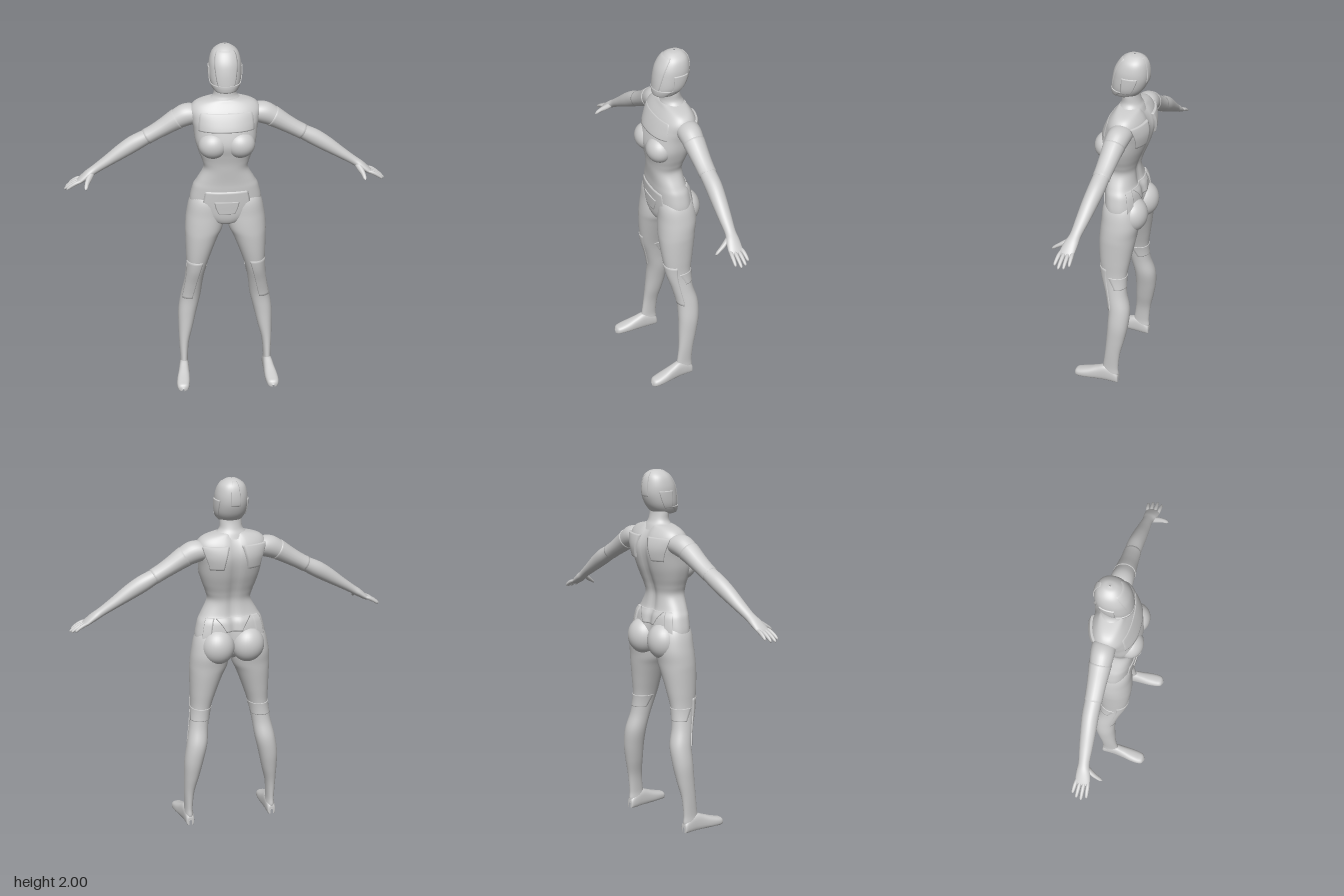
import * as THREE from 'three';

const DEG = Math.PI / 180;
const V = (x, y, z) => new THREE.Vector3(x, y, z);
const grey = new THREE.MeshStandardMaterial({ color: 0xcccccc });

// Smooth surface through rings { c: centre, u, v: half axes }; s is a fractional ring index.
function surface(rings, power = 1, rule = null) {
  const curve = k => new THREE.CatmullRomCurve3(rings.map(r => r[k]), false, 'catmullrom', 0.5);
  const [C, U, W] = [curve('c'), curve('u'), curve('v')];
  const last = rings.length - 1;
  const bend = n => Math.sign(n) * Math.pow(Math.abs(n), power);
  const at = (s, a, offset = 0) => {
    const t = s / last;
    const d = U.getPoint(t).multiplyScalar(bend(Math.cos(a)))
      .addScaledVector(W.getPoint(t), bend(Math.sin(a)));
    d.setLength(d.length() + offset);
    const p = C.getPoint(t).add(d);
    if (rule) rule(p);
    return p;
  };
  const mid = rings[last >> 1];
  const along = rings[(last >> 1) + 1].c.clone().sub(mid.c);
  return { at, last, flip: mid.u.clone().cross(mid.v).dot(along) < 0 };
}

function gridGeometry(points, rows, cols, closed, flip) {
  const pos = points.flatMap(p => [p.x, p.y, p.z]);
  const index = [];
  for (let i = 0; i < rows - 1; i++) {
    for (let j = 0; j < (closed ? cols : cols - 1); j++) {
      const k = (j + 1) % cols;
      const [a, b, c, d] = [i * cols + j, i * cols + k, (i + 1) * cols + k, (i + 1) * cols + j];
      if (flip) index.push(a, d, b, b, d, c);
      else index.push(a, b, d, b, c, d);
    }
  }
  const g = new THREE.BufferGeometry();
  g.setAttribute('position', new THREE.Float32BufferAttribute(pos, 3));
  g.setIndex(index);
  g.computeVertexNormals();
  return g;
}

// Closed body skin over the whole surface
function skin(S, cols = 40, steps = 6) {
  const pts = [], rows = S.last * steps + 1;
  for (let i = 0; i < rows; i++)
    for (let j = 0; j < cols; j++) pts.push(S.at(i / steps, j / cols * Math.PI * 2));
  return gridGeometry(pts, rows, cols, true, S.flip);
}

// Thin raised plate on a surface; its rim sinks below the skin. Half widths in degrees.
function plate(S, s0, s1, mid, w0, w1, lift = 0.004) {
  const n = 18, pts = [];
  const clamp = i => Math.min(Math.max(i - 1, 0), n) / n;
  for (let i = 0; i <= n + 2; i++) {
    for (let j = 0; j <= n + 2; j++) {
      const t = clamp(i), w = w0 + (w1 - w0) * t;
      const rim = i === 0 || j === 0 || i === n + 2 || j === n + 2;
      pts.push(S.at(s0 + (s1 - s0) * t, (mid + w * (2 * clamp(j) - 1)) * DEG, rim ? -0.004 : lift));
    }
  }
  return gridGeometry(pts, n + 3, n + 3, false, S.flip);
}

function mirrored(g) {
  const m = g.clone().scale(-1, 1, 1), id = m.index.array;
  for (let i = 0; i < id.length; i += 3) [id[i], id[i + 1]] = [id[i + 1], id[i]];
  m.computeVertexNormals();
  return m;
}

// Level ring from inner x, outer x, front z, back z
const level = ([y, x0, x1, zf, zb]) =>
  ({ c: V((x0 + x1) / 2, y, (zf + zb) / 2), u: V((x1 - x0) / 2, 0, 0), v: V(0, 0, (zf - zb) / 2) });
const centred = ([y, w, zf, zb]) => level([y, -w, w, zf, zb]);
// Ring across the arm direction
const armRing = ([x, y, z, r, rz]) => ({ c: V(x, y, z), u: V(0.5 * r, 0.86 * r, 0), v: V(0, 0, rz) });

export function createModel() {
  const model = new THREE.Group();
  const add = (name, g) => {
    const m = new THREE.Mesh(g, grey);
    m.name = name;
    model.add(m);
  };
  const pair = (name, g) => {
    add('left' + name, g);
    add('right' + name, mirrored(g));
  };
  const ball = (x, y, z, rx, ry, rz) =>
    new THREE.SphereGeometry(1, 32, 20).scale(rx, ry, rz).translate(x, y, z);

  // Torso, with a groove down the spine
  const torso = surface([
    [1.718, 0.01, -0.04, -0.07], [1.712, 0.07, -0.005, -0.115], [1.69, 0.155, 0.012, -0.135],
    [1.65, 0.19, 0.04, -0.158], [1.6, 0.185, 0.065, -0.172], [1.55, 0.174, 0.083, -0.17],
    [1.48, 0.165, 0.097, -0.152], [1.42, 0.148, 0.085, -0.13], [1.37, 0.13, 0.075, -0.112],
    [1.32, 0.121, 0.07, -0.102], [1.25, 0.158, 0.063, -0.11], [1.2, 0.183, 0.062, -0.13],
    [1.1, 0.195, 0.058, -0.14], [1.03, 0.125, 0.052, -0.125], [0.99, 0.055, 0.03, -0.08],
    [0.975, 0.006, -0.01, -0.03]].map(centred), 0.85,
  p => { if (p.z < -0.06) p.z += 0.014 * Math.exp(-((p.x / 0.025) ** 2)); });
  add('torso', skin(torso, 64));
  add('upperChestPlate', plate(torso, 3, 4.9, 90, 42, 55, 0.003));
  add('pelvisPlate', plate(torso, 11, 13.6, 90, 34, 40, 0.007));
  add('pelvisInset', plate(torso, 11.6, 12.4, 90, 15, 10, 0.012));
  add('lowerBackPlate', plate(torso, 10.2, 11.4, -90, 32, 10));
  pair('ShoulderBladePlate', plate(torso, 3, 5.4, -58, 25, 14, 0.012));
  pair('HipPouch', plate(torso, 10.2, 12.2, -45, 10, 9, 0.009));
  pair('Breast', ball(0.073, 1.475, 0.045, 0.08, 0.075, 0.071));
  pair('Buttock', ball(0.085, 1.075, -0.1, 0.092, 0.1, 0.085));

  // Neck
  add('neck', skin(surface([
    [1.82, 0.058, -0.005, -0.1], [1.77, 0.06, -0.01, -0.102], [1.73, 0.063, -0.008, -0.112],
    [1.705, 0.085, 0, -0.125], [1.68, 0.12, 0, -0.135]].map(centred))));

  // Helmeted head, face plate, crest, jaw guard and ear guards
  const head = surface([
    [2.0, 0.004, -0.07, -0.08], [1.992, 0.035, -0.035, -0.115], [1.965, 0.068, -0.003, -0.142],
    [1.92, 0.084, 0.024, -0.154], [1.87, 0.087, 0.037, -0.153], [1.82, 0.083, 0.043, -0.135],
    [1.785, 0.07, 0.044, -0.11], [1.762, 0.05, 0.036, -0.08], [1.755, 0.005, 0.005, -0.01],
  ].map(centred), 0.92);
  add('head', skin(head));
  add('facePlate', plate(head, 1.6, 6.6, 90, 50, 25, 0.003));
  add('crest', plate(head, 1.2, 4.2, -90, 14, 14));
  add('jawGuard', plate(head, 5.4, 6.8, 90, 85, 60, 0.005));
  pair('EarGuard', plate(head, 3.6, 5.6, -10, 24, 14, 0.005));

  // Arms with palms and raised sleeves
  const arm = surface([
    [0.13, 1.62, -0.07, 0.045, 0.045], [0.16, 1.62, -0.07, 0.06, 0.06], [0.21, 1.61, -0.068, 0.062, 0.062],
    [0.27, 1.582, -0.066, 0.053, 0.055], [0.34, 1.54, -0.065, 0.044, 0.048], [0.41, 1.5, -0.064, 0.04, 0.044],
    [0.49, 1.457, -0.063, 0.045, 0.044], [0.56, 1.415, -0.058, 0.041, 0.041], [0.64, 1.363, -0.052, 0.031, 0.035],
    [0.71, 1.318, -0.046, 0.024, 0.029], [0.75, 1.292, -0.04, 0.022, 0.036], [0.79, 1.264, -0.035, 0.016, 0.039],
    [0.81, 1.252, -0.035, 0.009, 0.034], [0.815, 1.25, -0.035, 0.001, 0.002]].map(armRing));
  pair('Arm', skin(arm, 32));
  pair('Sleeve', plate(arm, 2.8, 5.2, 0, 180, 180, 0.003));

  // Fingers and thumb
  const digit = (x0, y0, z0, x1, y1, z1, r) => skin(surface(
    [[0, 0.7], [0.35, 1], [0.7, 0.9], [0.93, 0.65], [1, 0.05]].map(([t, k]) => armRing([
      x0 + (x1 - x0) * t, y0 + (y1 - y0) * t + 0.006 * Math.sin(t * Math.PI), z0 + (z1 - z0) * t, r * k, r * k]))), 12, 3);
  [[0.858, -0.073], [0.876, -0.05], [0.882, -0.024], [0.868, 0.002]].forEach(([tip, z], i) =>
    pair('Finger' + (i + 1), digit(0.785, 1.266, -0.065 + i * 0.02, tip, 1.215 + (0.882 - tip) * 0.5, z, 0.0105)));
  const thumb = surface([[0.725, 1.305, -0.03, 0.014], [0.743, 1.282, 0, 0.016], [0.755, 1.265, 0.03, 0.012],
    [0.76, 1.25, 0.053, 0.009], [0.762, 1.244, 0.063, 0.001]].map(([x, y, z, r]) =>
    ({ c: V(x, y, z), u: V(r, 0, 0), v: V(0, r, 0) })));
  pair('Thumb', skin(thumb, 14, 3));

  // Legs with thigh cuffs and knee plates
  const leg = surface([
    [1.22, 0.06, 0.13, -0.01, -0.07], [1.14, 0.015, 0.193, 0.05, -0.13], [1.04, 0.006, 0.218, 0.062, -0.148],
    [0.96, 0.015, 0.226, 0.068, -0.138], [0.9, 0.042, 0.226, 0.068, -0.13], [0.8, 0.08, 0.224, 0.06, -0.114],
    [0.7, 0.112, 0.223, 0.044, -0.1], [0.6, 0.13, 0.236, 0.014, -0.106], [0.5, 0.142, 0.256, -0.008, -0.131],
    [0.4, 0.165, 0.271, -0.01, -0.129], [0.3, 0.188, 0.272, -0.006, -0.112], [0.2, 0.213, 0.27, 0, -0.09],
    [0.1, 0.222, 0.266, 0.012, -0.08], [0.05, 0.22, 0.268, 0.02, -0.082], [0.02, 0.23, 0.26, 0, -0.06],
  ].map(level), 0.95);
  pair('Leg', skin(leg));
  pair('KneePlate', plate(leg, 5.4, 8, 65, 48, 30));
  pair('ThighCuff', plate(leg, 5.9, 6.6, -90, 100, 80, 0.003));

  // Feet, flattened to the ground
  const foot = surface([
    [-0.083, 0.244, 0.008, 0.03], [-0.078, 0.244, 0.022, 0.055], [-0.045, 0.244, 0.026, 0.085],
    [0, 0.246, 0.028, 0.098], [0.05, 0.25, 0.032, 0.08], [0.1, 0.255, 0.037, 0.06],
    [0.145, 0.259, 0.036, 0.045], [0.172, 0.26, 0.028, 0.035], [0.185, 0.26, 0.006, 0.015],
  ].map(([z, x, w, h]) => ({ c: V(x, h / 2 - 0.004, z), u: V(w, 0, 0), v: V(0, h / 2 + 0.004, 0) })),
  0.8, p => { p.y = Math.max(p.y, 0); });
  pair('Foot', skin(foot, 28));

  return model;
}
